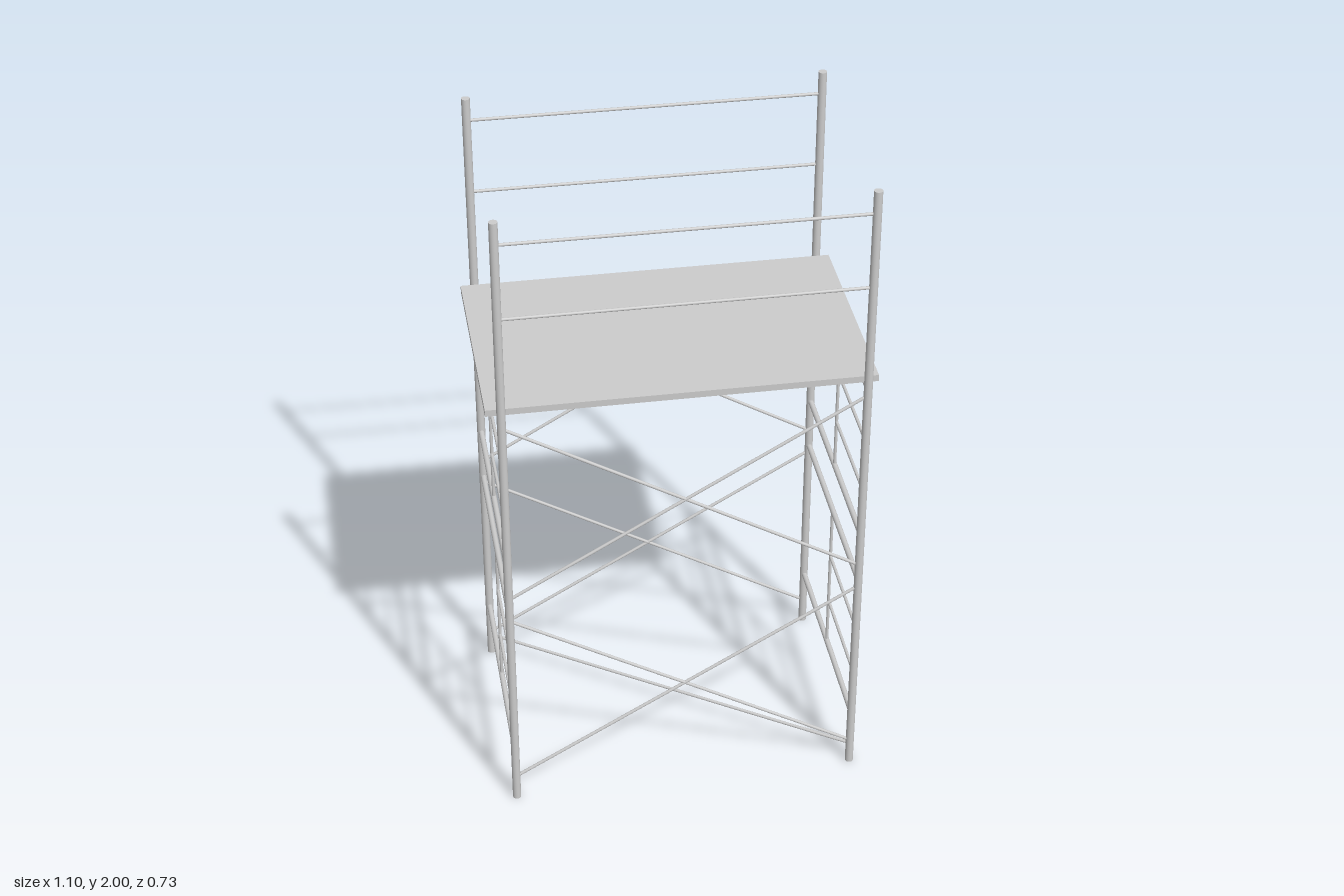
import * as THREE from 'three';

const LEFT = 0.518, RIGHT = -0.51, Z = 0.352;
const POST_R = 0.0125, FRAME_R = 0.0085, THIN_R = 0.0048;

export function createModel() {
  const model = new THREE.Group();
  model.name = 'scaffoldTower';
  const material = new THREE.MeshStandardMaterial({ color: 0xcccccc });

  // Round tube between two points
  function tube(name, a, b, radius) {
    const start = new THREE.Vector3(...a), end = new THREE.Vector3(...b);
    const dir = end.clone().sub(start);
    const mesh = new THREE.Mesh(new THREE.CylinderGeometry(radius, radius, dir.length(), 16), material);
    mesh.name = name;
    mesh.position.copy(start).add(end).multiplyScalar(0.5);
    mesh.quaternion.setFromUnitVectors(new THREE.Vector3(0, 1, 0), dir.normalize());
    model.add(mesh);
  }

  // End frames: posts, crossbars and half-width ladders on the front side
  for (const x of [RIGHT, LEFT]) {
    for (const z of [-Z, Z]) tube('post', [x, 0, z], [x, 2, z], POST_R);
    for (const [bottom, top] of [[0.19, 0.698], [0.865, 1.37]]) {
      for (const y of [bottom, top]) tube('crossbar', [x, y, -Z], [x, y, Z], FRAME_R);
      tube('ladderUpright', [x, bottom, 0], [x, top, 0], THIN_R);
      for (const t of [0.31, 0.65]) {
        const y = bottom + (top - bottom) * t;
        tube('ladderRung', [x, y, 0], [x, y, Z], THIN_R);
      }
    }
  }

  // Front and back sides: crossed braces and guard rails
  for (const z of [-Z, Z]) {
    for (const [low, high] of [[0.08, 0.675], [0.753, 1.347]]) {
      tube('crossBrace', [RIGHT, low, z], [LEFT, high, z], THIN_R);
      tube('crossBrace', [RIGHT, high, z], [LEFT, low, z], THIN_R);
    }
    for (const y of [1.7, 1.93]) tube('guardRail', [RIGHT, y, z], [LEFT, y, z], THIN_R);
  }

  // Horizontal diagonal near the ground
  tube('baseDiagonal', [RIGHT, 0.067, -Z], [LEFT, 0.067, Z], THIN_R);

  // Working platform
  const deck = new THREE.Mesh(new THREE.BoxGeometry(1.104, 0.02, 0.664), material);
  deck.name = 'deck';
  deck.position.y = 1.389;
  model.add(deck);

  return model;
}
